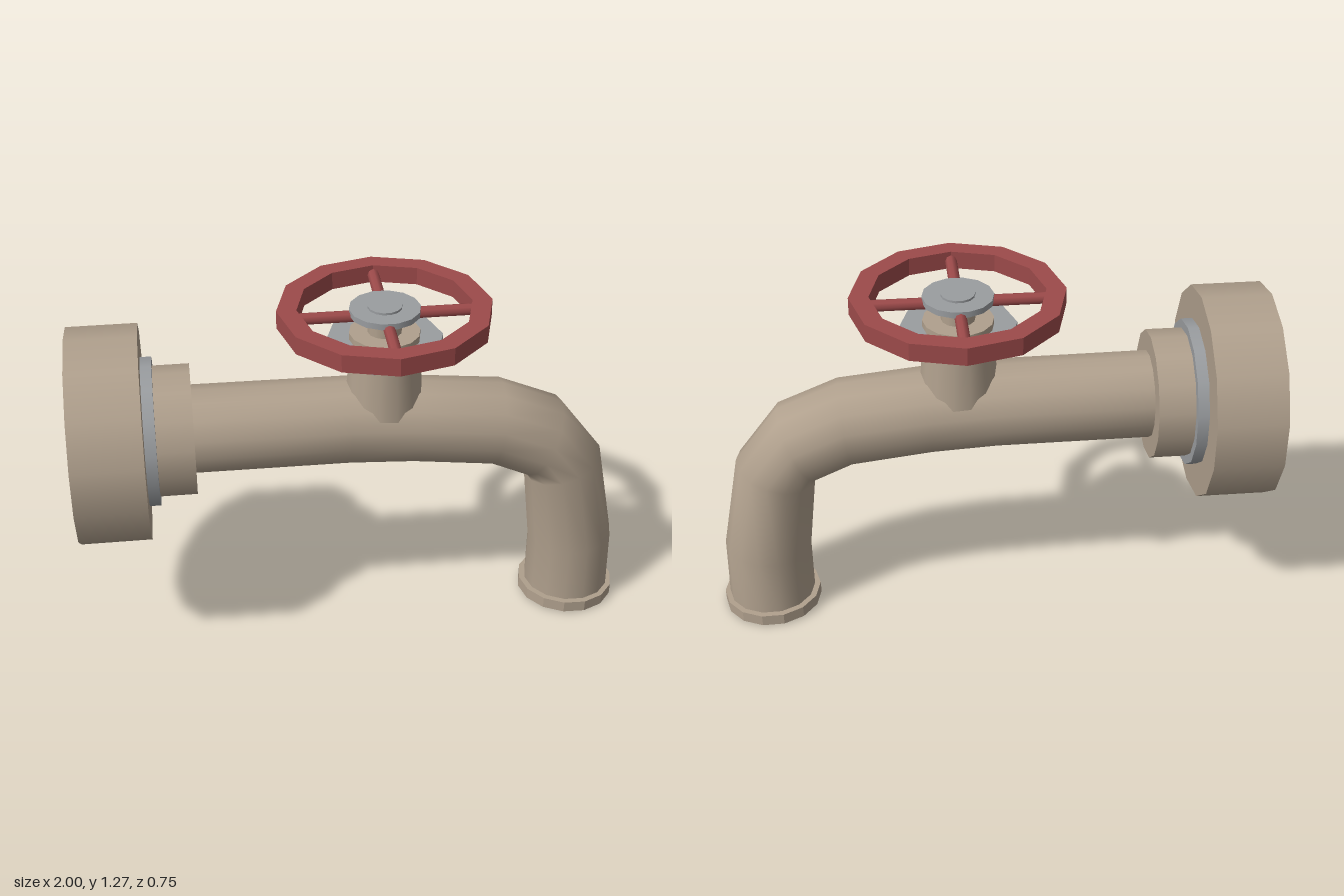
import * as THREE from 'three';

const paint = (color, flatShading = false) => new THREE.MeshStandardMaterial({ color, flatShading });
const BRASS = 0xb0a08d, STEEL = 0x9a9da0, RED = 0x9c4a4a;

export function createModel() {
  const model = new THREE.Group();
  const add = (name, geometry, material, parent = model) => {
    const mesh = new THREE.Mesh(geometry, material);
    mesh.name = name;
    parent.add(mesh);
    return mesh;
  };
  // Cylinder between two heights, with a corner on the x axis
  const disc = (y0, y1, r0, r1, sides) =>
    new THREE.CylinderGeometry(r1, r0, y1 - y0, sides, 1, false, Math.PI / 2).translate(0, (y0 + y1) / 2, 0);

  // Wall fitting: stepped discs along x
  const axisY = 0.826;
  for (const [name, x0, x1, r, color] of [
    ['wallFlange', -1, -0.75, 0.385, BRASS],
    ['washer', -0.76, -0.71, 0.265, STEEL],
    ['collar', -0.72, -0.58, 0.233, BRASS],
  ]) add(name, disc(x0, x1, r, r, 14).rotateZ(-Math.PI / 2).translate(0, axisY, 0), paint(color))
    .geometry.name = name;

  // Spout: rings given by their outer and inner points in the xy plane
  const rings = [
    [-0.62, 0.985, -0.62, 0.669], [-0.03, 0.981, -0.03, 0.667], [0.23, 0.965, 0.2, 0.655],
    [0.53, 0.935, 0.49, 0.62], [0.75, 0.843, 0.622, 0.56], [0.907, 0.637, 0.628, 0.545],
    [0.975, 0.275, 0.66, 0.25], [0.978, 0.03, 0.658, 0.03],
  ];
  const sides = 14, points = [], faces = [];
  rings.forEach(([ox, oy, ix, iy], i) => {
    const cx = (ox + ix) / 2, cy = (oy + iy) / 2;
    for (let j = 0; j < sides; j++) {
      const a = (j / sides) * Math.PI * 2, c = Math.cos(a);
      points.push(cx + (ox - cx) * c, cy + (oy - cy) * c, 0.157 * Math.sin(a));
      if (i === rings.length - 1) continue;
      const p = i * sides + j, q = i * sides + (j + 1) % sides;
      faces.push(p, q, p + sides, q, q + sides, p + sides);
    }
  });
  const pipe = new THREE.BufferGeometry();
  pipe.setAttribute('position', new THREE.Float32BufferAttribute(points, 3));
  pipe.setIndex(faces);
  pipe.computeVertexNormals();
  add('spoutPipe', pipe, paint(BRASS));

  // Outlet lip, slightly tilted
  const lip = add('outletLip', disc(-0.021, 0.021, 0.18, 0.18, 14), paint(BRASS, true));
  lip.position.set(0.816, 0.0265, 0);
  lip.rotation.z = -0.025;

  // Valve: neck, nut, cap and stem
  const valve = new THREE.Group();
  valve.name = 'valve';
  valve.position.x = 0.1;
  model.add(valve);
  add('neck', disc(0.8, 1.12, 0.148, 0.122, 14), paint(BRASS), valve);
  add('nut', disc(1.115, 1.15, 0.206, 0.206, 10), paint(STEEL, true), valve);
  add('cap', disc(1.15, 1.175, 0.125, 0.125, 14), paint(BRASS), valve);
  add('stem', disc(1.17, 1.25, 0.06, 0.06, 14), paint(BRASS), valve);
  add('hubDisc', disc(1.245, 1.267, 0.125, 0.125, 14), paint(STEEL), valve);
  add('hubButton', disc(1.26, 1.275, 0.06, 0.06, 14), paint(STEEL), valve);

  // Handwheel: rectangular rim and crossed spokes
  const wheel = new THREE.Group();
  wheel.name = 'handwheel';
  valve.add(wheel);
  const rim = [[0.305, 1.21], [0.375, 1.21], [0.375, 1.275], [0.305, 1.275], [0.305, 1.21]]
    .map(([r, y]) => new THREE.Vector2(r, y));
  add('rim', new THREE.LatheGeometry(rim, 12), paint(RED, true), wheel);
  for (const turn of [0, Math.PI / 2]) {
    const spoke = add('spoke', new THREE.CylinderGeometry(0.021, 0.021, 0.64, 8).rotateZ(Math.PI / 2), paint(RED), wheel);
    spoke.position.y = 1.24;
    spoke.rotation.y = turn;
  }
  return model;
}
